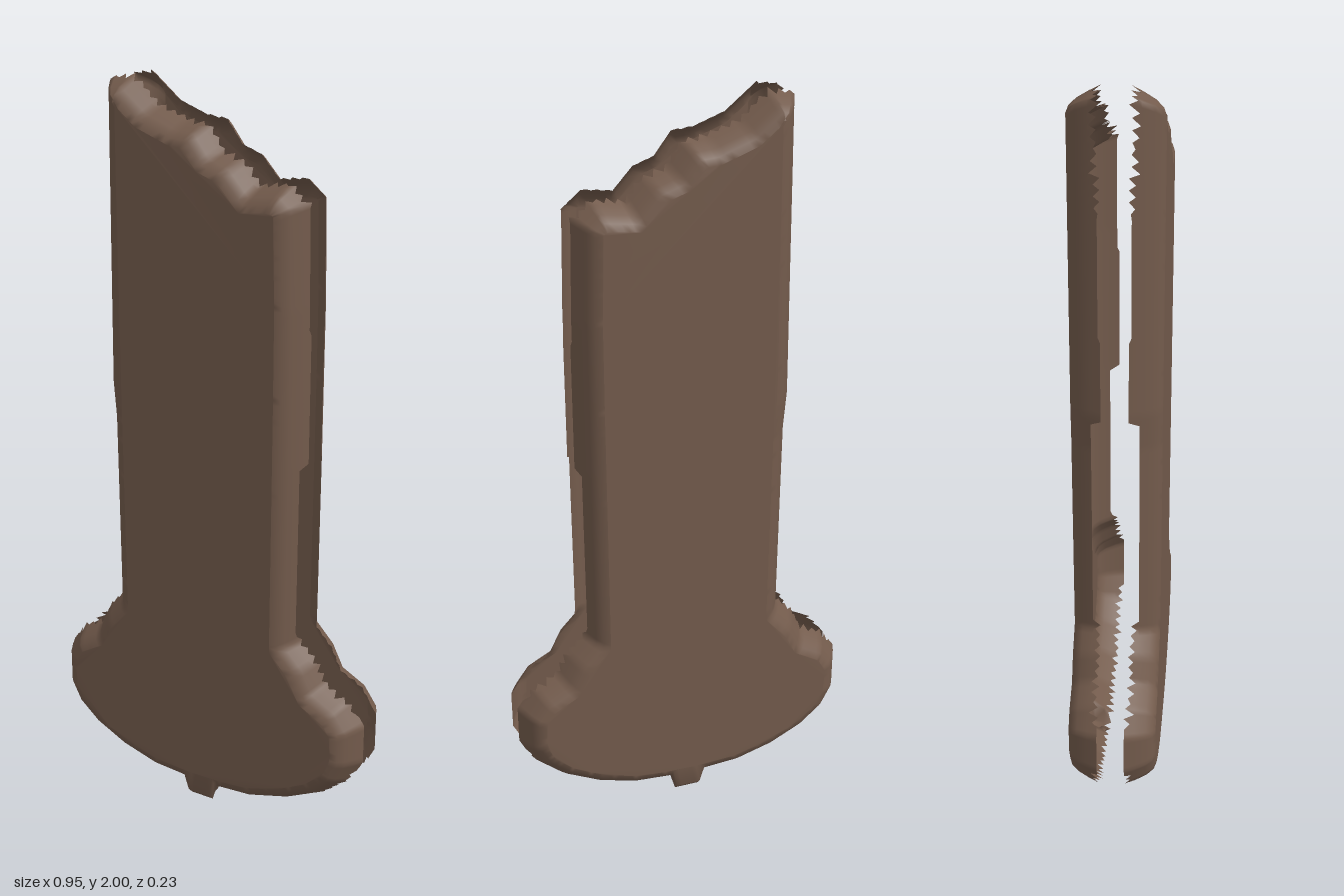
import * as THREE from 'three';

// Half of the rounded foot, from bottom centre up to the neck
const foot = [[0.05, 0.02], [0.16, 0.028], [0.27, 0.06], [0.37, 0.11], [0.44, 0.17], [0.476, 0.24],
  [0.476, 0.35], [0.43, 0.415], [0.365, 0.45], [0.335, 0.51], [0.288, 0.56]];
// Broken, slanted top edge from right to left
const brokenTop = [[0.29, 1.06], [0.29, 1.47], [0.284, 1.73], [0.23, 1.775], [0.15, 1.765], [0.1, 1.82], [0.045, 1.84],
  [0.0, 1.9], [-0.06, 1.905], [-0.14, 1.935], [-0.22, 2.0], [-0.292, 1.99], [-0.3, 1.2], [-0.292, 1.1]];

// Counter-clockwise silhouette
const outline = [...foot, ...brokenTop, ...foot.slice().reverse().map(([x, y]) => [-x, y])]
  .map(([x, y]) => new THREE.Vector2(x, y));

// Rim profile: inset from the silhouette and height of the shell
const insets = [0, 0.013, 0.028, 0.044, 0.062];
const heights = [0.033, 0.062, 0.09, 0.108, 0.115];

function insetOutline(points, d) {
  const n = points.length;
  return points.map((p, i) => {
    const a = p.clone().sub(points[(i + n - 1) % n]).normalize();
    const b = points[(i + 1) % n].clone().sub(p).normalize();
    const na = new THREE.Vector2(-a.y, a.x), nb = new THREE.Vector2(-b.y, b.x);
    const m = na.clone().add(nb).normalize();
    return p.clone().addScaledVector(m, d / Math.max(0.6, m.dot(na)));
  });
}

// Split every edge into the same number of steps on each ring
const steps = outline.map((p, i) =>
  Math.max(2, Math.round(p.distanceTo(outline[(i + 1) % outline.length]) / 0.014)));

function resample(points) {
  const out = [];
  points.forEach((p, i) => {
    const q = points[(i + 1) % points.length];
    for (let s = 0; s < steps[i]; s++) out.push(p.clone().lerp(q, s / steps[i]));
  });
  return out;
}

function createShell(side) {
  let seed = 7;
  const random = () => (seed = (seed * 16807) % 2147483647) / 2147483647;
  const rings = insets.map(d => resample(insetOutline(outline, d)));
  const n = rings[0].length;
  const positions = [], index = [];
  const tri = (a, b, c) => (side > 0 ? index.push(a, b, c) : index.push(a, c, b));

  rings.forEach((ring, r) => ring.forEach((p, i) => {
    let { x, y } = p, z = heights[r];
    if (r === 0) {
      // Ragged open edge: teeth on slopes, long shallow steps on the shaft
      let cut = i % 2 ? 0.5 + 0.45 * random() : 0.3 * random();
      if (Math.abs(x) > 0.25 && y > 0.58 && y < 1.72) cut = y < (x > 0 ? 1.06 : 1.18) ? 0.95 : y < 1.4 ? 0.05 : 0.25;
      if (Math.abs(x) > 0.46) cut = 0.1;
      const q = rings[1][i];
      x += (q.x - x) * cut;
      y += (q.y - y) * cut;
      z += (heights[1] - z) * cut;
    }
    // Small nub under the foot
    if (r < 4 && y < 0.1 && Math.abs(x) < 0.035) y = r < 3 ? 0 : 0.02;
    positions.push(x, y, z * side);
  }));

  // Rounded rim
  for (let r = 0; r < rings.length - 1; r++) {
    for (let i = 0; i < n; i++) {
      const a = r * n + i, b = r * n + (i + 1) % n;
      tri(a, b, b + n);
      tri(a, b + n, a + n);
    }
  }
  // Flat face
  const last = (rings.length - 1) * n;
  for (const [a, b, c] of THREE.ShapeUtils.triangulateShape(rings[rings.length - 1], [])) {
    tri(last + a, last + b, last + c);
  }

  const geometry = new THREE.BufferGeometry();
  geometry.setAttribute('position', new THREE.Float32BufferAttribute(positions, 3));
  geometry.setIndex(index);
  geometry.computeVertexNormals();
  return geometry;
}

export function createModel() {
  const group = new THREE.Group();
  group.name = 'brokenPaddle';
  const brown = new THREE.MeshStandardMaterial({ color: 0x735b4c, side: THREE.DoubleSide });
  brown.name = 'brown';
  for (const [name, side] of [['frontShell', 1], ['backShell', -1]]) {
    const mesh = new THREE.Mesh(createShell(side), brown);
    mesh.name = name;
    group.add(mesh);
  }
  return group;
}
